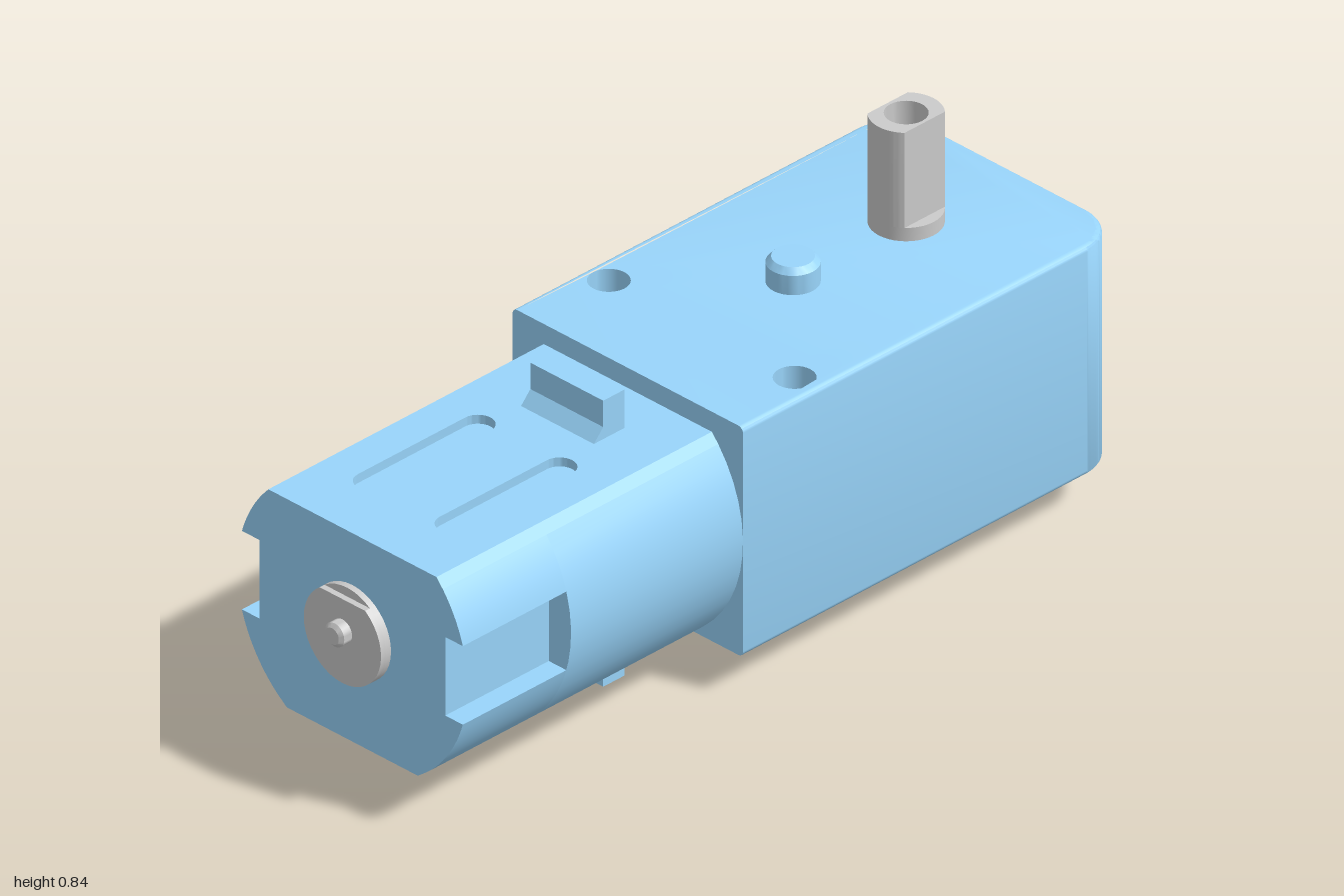
import * as THREE from 'three';
import { toCreasedNormals } from 'three/addons/utils/BufferGeometryUtils.js';

const AXIS = 0.343; // height of the motor axis
const R = 0.31;     // motor can radius

export function createModel() {
  const group = new THREE.Group();
  const blue = new THREE.MeshStandardMaterial({ color: 0x99d5fb });
  const grey = new THREE.MeshStandardMaterial({ color: 0xcccccc });

  function add(name, geometry, material, x = 0, y = 0, z = 0) {
    const mesh = new THREE.Mesh(toCreasedNormals(geometry, 0.6), material);
    mesh.name = name;
    mesh.position.set(x, y, z);
    group.add(mesh);
    return mesh;
  }
  const extrude = (shape, depth, options = {}) =>
    new THREE.ExtrudeGeometry(shape, { depth, bevelEnabled: false, curveSegments: 16, ...options });
  const alongY = (shape, depth, options) => extrude(shape, depth, options).rotateX(-Math.PI / 2);
  const alongX = (shape, depth) => extrude(shape, depth).rotateY(Math.PI / 2);
  const circle = (x, y, r) => new THREE.Path().absarc(x, y, r, 0, Math.PI * 2, true);
  const polygon = (pts) => new THREE.Shape(pts.map(([x, y]) => new THREE.Vector2(x, y)));
  // moves every vertex by a rule before the normals are made
  function reshape(geometry, rule) {
    const p = geometry.attributes.position;
    const v = new THREE.Vector3();
    for (let i = 0; i < p.count; i++) {
      rule(v.fromBufferAttribute(p, i));
      p.setXYZ(i, v.x, v.y, v.z);
    }
    return geometry;
  }

  // Gearbox: rounded outer corners, softened rim, two straight screw holes
  const box = new THREE.Shape();
  box.moveTo(-0.2, -R);
  box.lineTo(0.73, -R);
  box.absarc(0.73, -0.21, 0.1, -Math.PI / 2, 0, false);
  box.absarc(0.73, 0.21, 0.1, 0, Math.PI / 2, false);
  box.lineTo(-0.2, R);
  box.closePath();
  for (const z of [-0.25, 0.25]) box.holes.push(circle(0, z, 0.042));
  const rim = 0.012;
  const boxGeometry = alongY(box, 0.514 - 2 * rim, {
    bevelEnabled: true, bevelSize: rim, bevelThickness: rim, bevelOffset: -rim, bevelSegments: 4,
  });
  reshape(boxGeometry, (v) => {
    if (v.x < -0.18) v.x = -0.2; // flat end against the motor
    const side = Math.sign(v.z) * 0.25;
    const d = Math.hypot(v.x, v.z - side);
    if (d < 0.056) {             // keep the screw holes cylindrical
      v.x *= 0.042 / d;
      v.z = side + (v.z - side) * 0.042 / d;
    }
  });
  add('gearbox', boxGeometry, blue, 0, 0.086 + rim, 0);

  // Motor can: a circle cut flat above and below, with side slots at the rear
  const TOP = 0.212, BOTTOM = -0.255, SKIN = 0.02;
  function canSection(slotted) {
    const arc = (y0, y1) => {
      const a0 = Math.asin(y0 / R), a1 = Math.asin(y1 / R);
      return Array.from({ length: 13 }, (_, i) => {
        const a = a0 + (a1 - a0) * i / 12;
        return [R * Math.cos(a), R * Math.sin(a)];
      });
    };
    const low = BOTTOM + SKIN, high = TOP - SKIN, slot = 0.088;
    const side = slotted
      ? [...arc(low, -slot), [0.25, -slot], [0.25, slot], ...arc(slot, high)]
      : arc(low, high);
    return polygon([...side, ...side.map(([x, y]) => [-x, y]).reverse()]);
  }
  add('motorCanRear', alongX(canSection(true), 0.28), blue, -0.945, AXIS, 0);
  add('motorCanFront', alongX(canSection(false), 0.465), blue, -0.665, AXIS, 0);

  // Flat skins with two long grooves each; their edges follow the can's curve
  for (const [name, y0] of [['motorTopSkin', TOP - SKIN], ['motorBottomSkin', BOTTOM]]) {
    const skin = polygon([[-0.945, -0.3], [-0.2, -0.3], [-0.2, 0.3], [-0.945, 0.3]]);
    for (const z of [-0.11, 0.11]) {
      const groove = new THREE.Path();
      groove.absarc(-0.785, z, 0.034, Math.PI * 1.5, Math.PI / 2, true);
      groove.absarc(-0.495, z, 0.034, Math.PI / 2, -Math.PI / 2, true);
      groove.closePath();
      skin.holes.push(groove);
    }
    const geometry = reshape(alongY(skin, SKIN), (v) => {
      if (Math.abs(v.z) > 0.2) v.z = Math.sign(v.z) * Math.sqrt(R * R - (v.y + y0) ** 2);
    });
    add(name, geometry, blue, 0, AXIS + y0, 0);
  }

  // Strap hooks above and below the motor
  const up = [[-0.395, 0.55], [-0.365, 0.582], [-0.365, 0.641], [-0.308, 0.641], [-0.308, 0.55]];
  const hooks = { upperHook: up, lowerHook: up.map(([x, y]) => [x, 0.641 - y]) };
  for (const [name, pts] of Object.entries(hooks)) {
    add(name, extrude(polygon(pts), 0.196), blue, 0, 0, -0.098);
  }

  // Mounting tab with flared root and a hole
  const tab = new THREE.Shape();
  tab.moveTo(0.82, -0.1);
  tab.lineTo(0.83, -0.1);
  tab.quadraticCurveTo(0.835, -0.083, 0.855, -0.083);
  tab.lineTo(0.975, -0.083);
  tab.absarc(0.975, -0.058, 0.025, -Math.PI / 2, 0, false);
  tab.absarc(0.975, 0.058, 0.025, 0, Math.PI / 2, false);
  tab.lineTo(0.855, 0.083);
  tab.quadraticCurveTo(0.835, 0.083, 0.83, 0.1);
  tab.lineTo(0.82, 0.1);
  tab.closePath();
  tab.holes.push(circle(0.915, 0, 0.043));
  add('mountingTab', alongY(tab, 0.055), blue, 0, 0.317, 0);

  // Locating peg with a chamfered top
  const peg = [[0.053, 0], [0.053, 0.043], [0.042, 0.056], [0, 0.056]];
  add('locatingPeg', new THREE.LatheGeometry(peg.map(([x, y]) => new THREE.Vector2(x, y)), 32),
    blue, 0.247, 0.6, 0);

  // Output shaft: round collar, then a double-flatted post with a bore
  add('shaftCollar', new THREE.CylinderGeometry(0.074, 0.074, 0.04, 40), grey, 0.553, 0.61, 0);
  const a = Math.asin(0.05 / 0.074);
  const post = new THREE.Shape();
  post.absarc(0, 0, 0.074, -a, a, false);
  post.absarc(0, 0, 0.074, Math.PI - a, Math.PI + a, false);
  post.closePath();
  post.holes.push(circle(0, 0, 0.043));
  add('outputShaft', alongY(post, 0.213), grey, 0.553, 0.63, 0);

  // Rear bearing cap: thin disc, raised disc with a V notch, and the pin
  const disc = new THREE.CylinderGeometry(0.104, 0.104, 0.014, 40).rotateZ(Math.PI / 2);
  add('bearingDisc', disc, grey, -0.952, AXIS - 0.008, 0);
  const cap = new THREE.Shape();
  cap.moveTo(0, 0.025);
  cap.absarc(0, 0, 0.104, Math.PI * 0.7, Math.PI * 2.3, false);
  cap.closePath();
  add('bearingCap', alongX(cap, 0.014), grey, -0.972, AXIS - 0.008, 0);
  const pin = [[0.026, 0], [0.026, 0.035], [0.018, 0.042], [0, 0.042]];
  add('motorPin', new THREE.LatheGeometry(pin.map(([x, y]) => new THREE.Vector2(x, y)), 24)
    .rotateZ(Math.PI / 2), grey, -0.958, AXIS + 0.005, 0);

  return group;
}
